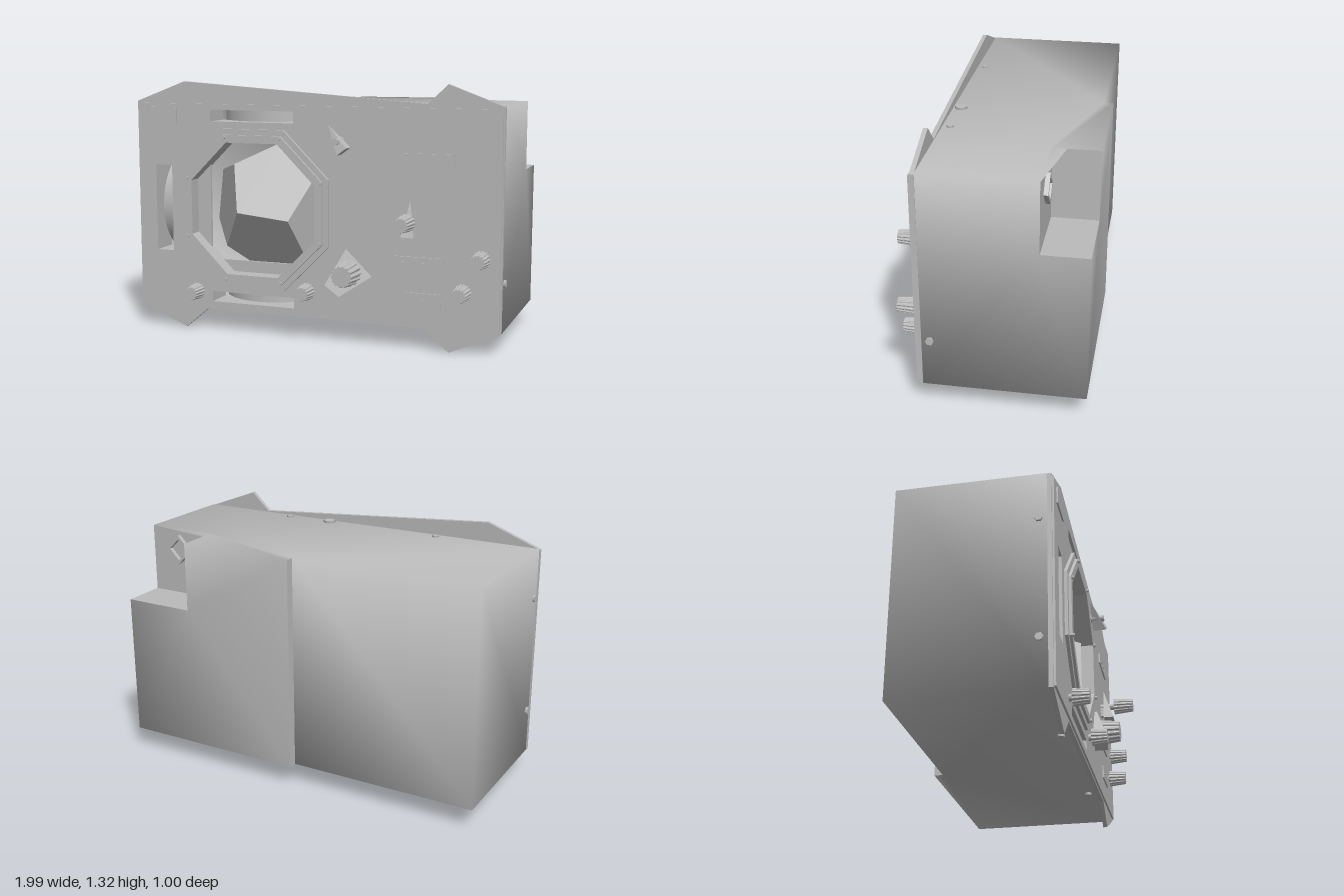
import * as THREE from 'three';

const grey = new THREE.MeshStandardMaterial({ color: 0xbababa, side: THREE.DoubleSide });
grey.name = 'plainGrey';

const CX = -0.31, CY = 0.66; // window centre

function createPart(parent, name, geometry, x = 0, y = 0, z = 0) {
  const m = new THREE.Mesh(geometry, grey);
  m.name = name;
  m.position.set(x, y, z);
  parent.add(m);
  return m;
}

const poly = (pts) => pts.map(([x, y]) => new THREE.Vector2(x, y));
const rect = (x0, x1, y0, y1) => poly([[x0, y0], [x1, y0], [x1, y1], [x0, y1]]);

// Regular octagon with flat top, given its half width
function octagon(half, x = 0, y = 0) {
  const r = half / Math.cos(Math.PI / 8);
  return Array.from({ length: 8 }, (_, i) => {
    const a = (i + 0.5) * Math.PI / 4;
    return new THREE.Vector2(x + r * Math.cos(a), y + r * Math.sin(a));
  });
}

function plate(outline, depth, holes = []) {
  const shape = new THREE.Shape(outline);
  shape.holes = holes.map((h) => new THREE.Path(h));
  return new THREE.ExtrudeGeometry(shape, { depth, bevelEnabled: false });
}

// Fans of triangles over shared corners
function facesGeometry(points, faces, smooth) {
  const index = [];
  for (const q of faces) for (let i = 1; i < q.length - 1; i++) index.push(q[0], q[i], q[i + 1]);
  let g = new THREE.BufferGeometry();
  g.setAttribute('position', new THREE.Float32BufferAttribute(points.flat(), 3));
  g.setIndex(index);
  if (!smooth) g = g.toNonIndexed();
  g.computeVertexNormals();
  return g;
}

// Stepped, open-fronted housing with a notch in the upper rear corner
function addHousing(model) {
  const b = 0.11, t = 1.215, n = 0.86, w = 0.985, f = 0.29;
  const p = [
    [-w, b, f], [w, b, f], [w, t, f], [-w, t, f],
    [-w, b, -0.45], [-w, t, -0.45], [0, b, -0.45], [0, t, -0.45],
    [0, b, -0.495], [0, t, -0.495], [w, b, -0.495], [w, n, -0.495],
    [0.61, n, -0.495], [0.61, t, -0.495], [w, n, -0.265], [0.61, n, -0.265],
    [0.61, t, -0.265], [w, t, -0.265],
  ];
  createPart(model, 'housing', facesGeometry(p, [
    [0, 3, 5, 4], [14, 17, 2, 1, 10, 11], [6, 8, 10, 1, 0, 4],
    [16, 13, 9, 7], [7, 5, 3, 2, 17, 16], [4, 5, 7, 6], [12, 11, 10, 8, 9, 13],
  ], true));
  createPart(model, 'housingNotch', facesGeometry(p,
    [[12, 15, 14, 11], [12, 13, 16, 15], [15, 16, 17, 14]], false));
  createPart(model, 'housingStep', facesGeometry(p, [[6, 7, 9, 8]], false));
}

// Ribbed knob, narrowing towards its face
function knobGeometry(r, length) {
  const ribs = 14, pts = [];
  for (let i = 0; i < ribs * 4; i++) {
    const a = i / (ribs * 4) * Math.PI * 2, k = i % 4 < 2 ? r : r * 0.9;
    pts.push(new THREE.Vector2(k * Math.cos(a), k * Math.sin(a)));
  }
  const g = plate(pts, length), pos = g.attributes.position;
  for (let i = 0; i < pos.count; i++) {
    const s = 1 - 0.2 * pos.getZ(i) / length;
    pos.setXY(i, pos.getX(i) * s, pos.getY(i) * s);
  }
  g.computeVertexNormals();
  return g;
}

// Wedge pointer: tall at the base, its tip lying on the panel
function pointerGeometry(w, back, tip, h) {
  const v = [[-w, back, 0], [w, back, 0], [w, back, h], [-w, back, h], [0, tip, 0]];
  return facesGeometry(v, [[0, 1, 2, 3], [3, 2, 4], [2, 1, 4], [0, 3, 4], [1, 0, 4]], false);
}

// Diamond plate rising towards its lower left edge
function diamondGeometry() {
  const g = plate(poly([[0.2, 0.485], [0.11, 0.31], [0.185, 0.255], [0.335, 0.355]]), 1);
  const pos = g.attributes.position;
  for (let i = 0; i < pos.count; i++) {
    const s = (0.69 - pos.getX(i) - pos.getY(i)) / 0.26;
    pos.setZ(i, pos.getZ(i) * (0.012 + 0.06 * s));
  }
  g.computeVertexNormals();
  return g;
}

export function createModel() {
  const model = new THREE.Group();
  model.name = 'panelInstrument';
  addHousing(model);

  // Eared flange and faceplate share the window and slot openings
  const slots = [[-0.555, -0.09, 1.11, 1.17], [-0.555, -0.09, 0.155, 0.21], [-0.88, -0.785, 0.415, 0.875]];
  const holes = [octagon(0.36, CX, CY), ...slots.map((s) => rect(...s))];
  const ears = poly([[-0.988, 0.11], [-0.72, 0], [-0.59, 0.11], [0.6, 0.11], [0.73, 0], [0.988, 0.11],
    [0.988, 1.21], [0.71, 1.315], [0.61, 1.22], [-0.71, 1.315], [-0.988, 1.21]]);
  createPart(model, 'flange', plate(ears, 0.022, holes), 0, 0, 0.29);
  createPart(model, 'faceplate', plate(rect(-0.98, 0.98, 0.12, 1.2), 0.01, holes), 0, 0, 0.312);

  // Window frame: a low outer ring and a raised inner ring, with corner screws
  const frame = new THREE.Group();
  frame.name = 'windowFrame';
  frame.position.set(CX, CY, 0.322);
  model.add(frame);
  createPart(frame, 'outerRing', plate(octagon(0.415), 0.016, [octagon(0.36)]));
  createPart(frame, 'middleRing', plate(octagon(0.385), 0.03, [octagon(0.36)]));
  createPart(frame, 'innerRing', plate(octagon(0.365), 0.1, [octagon(0.345)]), 0, 0, -0.07);
  for (const c of octagon(0.372)) {
    createPart(frame, 'frameScrew', new THREE.CylinderGeometry(0.01, 0.01, 0.012, 8), c.x, c.y, 0.034)
      .rotation.x = Math.PI / 2;
  }

  // Faceted ball and its supports behind the window
  const ball = createPart(model, 'indicatorBall', new THREE.DodecahedronGeometry(0.39), CX, CY - 0.02, -0.06);
  ball.rotation.set(0.06, 0.1, Math.PI / 2 - 0.13);
  createPart(model, 'leftSupport', new THREE.BoxGeometry(0.015, 0.5, 0.2), 0, CY, 0.19).rotation.y = 0.3;
  createPart(model, 'rightSupport', new THREE.BoxGeometry(0.08, 0.55, 0.015), -0.62, CY, 0.27);
  createPart(model, 'lowerSupport', new THREE.BoxGeometry(0.4, 0.06, 0.015), CX, 0.345, 0.26);

  // Slot pockets with a recessed curved scale
  for (const [x0, x1, y0, y1] of slots) {
    const e = 0.006, w = x1 - x0, h = y1 - y0, long = Math.max(w, h), r = long * 0.62;
    createPart(model, 'slotWalls',
      plate(rect(x0 - e, x1 + e, y0 - e, y1 + e), 0.12, [rect(x0, x1, y0, y1)]), 0, 0, 0.17);
    const scale = new THREE.CylinderGeometry(r, r, Math.min(w, h), 20, 1, true, -0.93, 1.86);
    createPart(model, 'slotScale', scale, (x0 + x1) / 2, (y0 + y1) / 2, 0.25 - r)
      .rotation.z = w > h ? 0 : Math.PI / 2;
  }

  // Ribbed knobs: x, y, radius, start and end depth
  for (const [x, y, r, z0, z1] of [
    [-0.635, 0.21, 0.043, 0.34, 0.42], [-0.01, 0.255, 0.045, 0.34, 0.42], [0.22, 0.37, 0.068, 0.345, 0.46],
    [0.535, 0.65, 0.045, 0.4, 0.505], [0.89, 0.48, 0.045, 0.33, 0.42], [0.8, 0.31, 0.045, 0.33, 0.42]]) {
    createPart(model, 'knob', knobGeometry(r, z1 - z0), x, y, z0);
    createPart(model, 'knobShaft', new THREE.CylinderGeometry(r * 0.4, r * 0.4, z0 - 0.3, 10), x, y, (z0 + 0.31) / 2)
      .rotation.x = Math.PI / 2;
  }

  // Pointers
  createPart(model, 'selectorPointer', pointerGeometry(0.033, -0.075, 0.1, 0.055), 0.535, 0.65, 0.34);
  createPart(model, 'selectorBase', new THREE.BoxGeometry(0.03, 0.06, 0.025), 0.535, 0.62, 0.332);
  createPart(model, 'diamondPointer', diamondGeometry(), 0, 0, 0.328);
  createPart(model, 'leverPointer', pointerGeometry(0.03, -0.06, 0.1, 0.075), 0.165, 1.03, 0.335)
    .rotation.z = 0.65;
  createPart(model, 'leverPost', new THREE.CylinderGeometry(0.018, 0.022, 0.08, 8), 0.165, 1.03, 0.36)
    .rotation.x = Math.PI / 2;

  // Label plates with small pegs
  for (const [x0, x1, y0, y1, pegs] of [
    [-0.915, -0.75, 1.09, 1.18, 0], [0.45, 0.7, 0.41, 0.47, 4],
    [0.51, 0.69, 0.22, 0.29, 3], [0.5, 0.75, 0.92, 0.98, 3]]) {
    createPart(model, 'labelPlate', plate(rect(x0, x1, y0, y1), 0.009), 0, 0, 0.321);
    for (let i = 0; i < pegs; i++) {
      createPart(model, 'labelPeg', new THREE.BoxGeometry(0.012, 0.008, 0.008),
        x0 + (x1 - x0) * (i + 1) / (pegs + 1), (y0 + y1) / 2, 0.331);
    }
  }

  // Case screws on the top, bottom and sides
  const addScrew = (x, y, z, r, turn = 0) => {
    createPart(model, 'caseScrew', new THREE.CylinderGeometry(r, r, 0.022, 6), x, y, z).rotation.z = turn;
  };
  addScrew(0.19, 1.216, 0.25, 0.032);
  for (const x of [-0.44, 0.44]) {
    addScrew(x, 1.213, 0.25, 0.018);
    addScrew(x, 0.108, 0.25, 0.018);
  }
  for (const [x, y] of [[0.986, 0.355], [-0.986, 0.355], [-0.986, 0.97]]) addScrew(x, y, 0.25, 0.02, Math.PI / 2);

  // Diamond-set connector in the rear notch
  createPart(model, 'rearConnector',
    plate(rect(-0.055, 0.055, -0.055, 0.055), 0.022, [rect(-0.04, 0.04, -0.04, 0.04)]), 0.81, 1.105, -0.287)
    .rotation.z = Math.PI / 4;
  return model;
}
